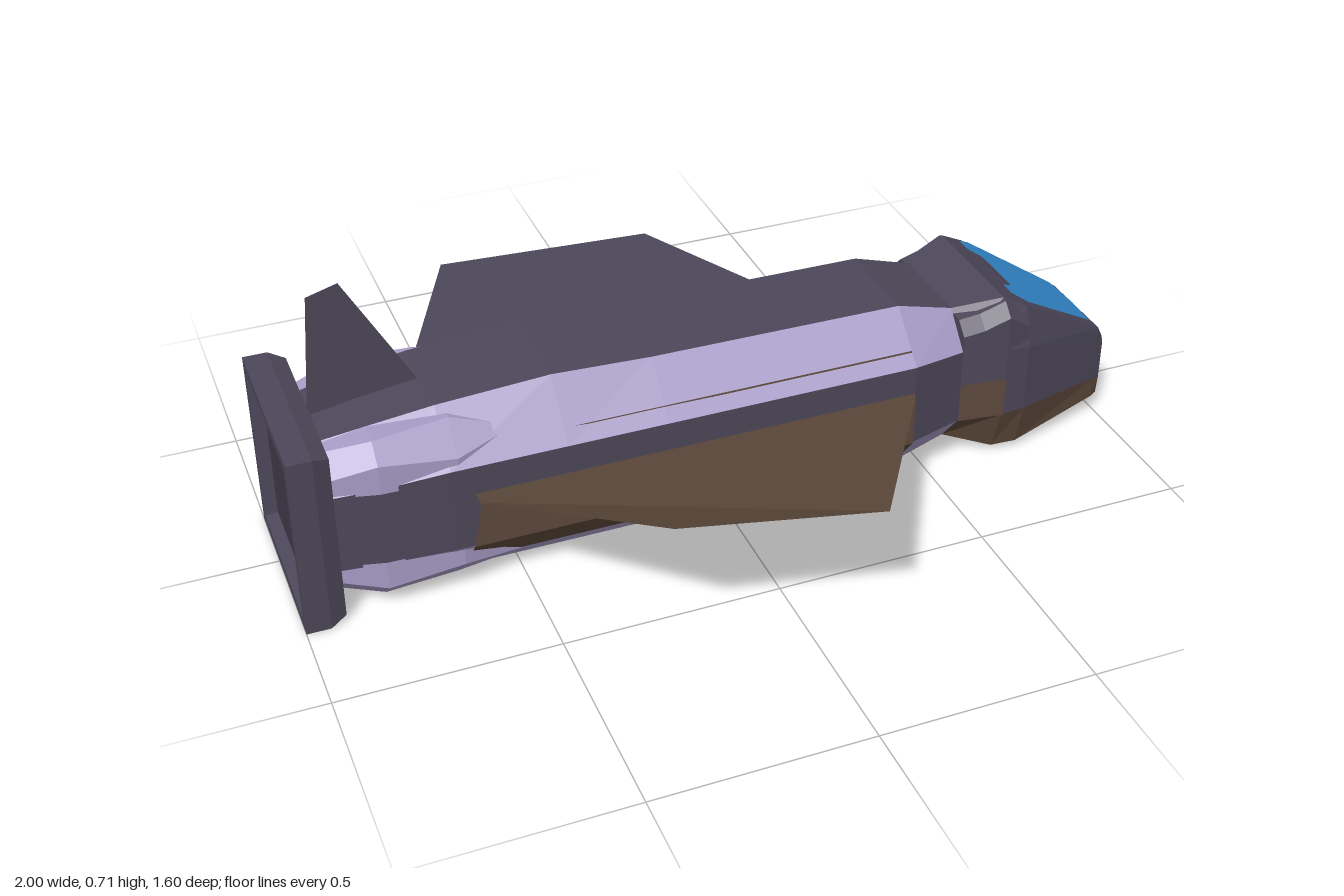
import * as THREE from 'three';

const ZC = 0.05; // centre line of the hull
const mat = (color, side = THREE.FrontSide) =>
  new THREE.MeshStandardMaterial({ color, flatShading: true, side });
const GREY = mat(0x4d485a), LILAC = mat(0xa89cc6), BROWN = mat(0x5e4a3c);
const DARK = mat(0x3f3b49), BLUE = mat(0x3489cf, THREE.DoubleSide);
const GREY2 = mat(0x4d485a, THREE.DoubleSide), BROWN2 = mat(0x5e4a3c, THREE.DoubleSide);

function meshFrom(name, positions, material) {
  const g = new THREE.BufferGeometry();
  g.setAttribute('position', new THREE.Float32BufferAttribute(positions, 3));
  g.computeVertexNormals();
  const m = new THREE.Mesh(g, material);
  m.name = name;
  return m;
}

// Skin between rings of [x, y, z] points; `edges` picks the strips to build
function loft(name, rings, material, edges, caps = '') {
  const p = [], n = rings[0].length;
  for (let k = 0; k < rings.length - 1; k++) {
    for (const i of edges ?? rings[0].keys()) {
      const j = (i + 1) % n, A = rings[k], B = rings[k + 1];
      p.push(...A[i], ...B[i], ...B[j], ...A[i], ...B[j], ...A[j]);
    }
  }
  const last = rings[rings.length - 1];
  for (let i = 1; i < n - 1; i++) {
    if (caps.includes('s')) p.push(...rings[0][0], ...rings[0][i], ...rings[0][i + 1]);
    if (caps.includes('e')) p.push(...last[0], ...last[i + 1], ...last[i]);
  }
  return meshFrom(name, p, material);
}

// Mirror rings across the hull's middle planes
function mirror(rings, fz, fy = 1, yc = 0.22) {
  return rings.map(r => {
    const out = r.map(([x, y, z]) => [x, yc + fy * (y - yc), ZC + fz * (z - ZC)]);
    return fz * fy < 0 ? out.reverse() : out;
  });
}

// Eight-sided section: flat half width t, side half width s, four heights
const oct = ([x, t, s, yT, yU, yL, yB]) => [
  [s, yL], [s, yU], [t, yT], [-t, yT], [-s, yU], [-s, yL], [-t, yB], [t, yB],
].map(([z, y]) => [x, y, ZC + z]);

// Square section for the tail plate
const square = (x, inset) => {
  const h = 0.22 - inset;
  return [[h, -h], [h, h], [-h, h], [-h, -h]].map(([z, y]) => [x, 0.22 + y, ZC + z]);
};

// Thin four-cornered sheet
const sheet = (name, [a, b, c, d], material) =>
  meshFrom(name, [...a, ...b, ...c, ...a, ...c, ...d], material);

export function createModel() {
  const model = new THREE.Group();

  // Hull: grey flats with pale chamfers
  const hull = [
    [-0.92, 0.1, 0.185, 0.40, 0.31, 0.12, 0.04],
    [-0.81, 0.11, 0.205, 0.42, 0.32, 0.125, 0.02],
    [-0.66, 0.115, 0.22, 0.44, 0.335, 0.13, 0],
    [-0.4, 0.115, 0.22, 0.455, 0.335, 0.13, 0],
    [-0.17, 0.115, 0.22, 0.445, 0.335, 0.13, 0],
    [0.43, 0.115, 0.22, 0.44, 0.335, 0.13, 0],
    [0.57, 0.11, 0.18, 0.40, 0.32, 0.13, 0.045],
  ].map(oct);
  model.add(loft('hullPanels', hull, GREY, [0, 2, 4, 6]));
  model.add(loft('hullChamfers', hull, LILAC, [1, 3, 5, 7]));

  // Brown plating on the front flank
  const plate = [[-0.62, -0.62, -0.6, -0.65], [0.43, 0.43, 0.43, 0.43]].map(xs =>
    [[0.045, 0.206], [0.13, 0.275], [0.24, 0.277], [0.365, 0.243]].map(([y, z], i) => [xs[i], y, z]));
  model.add(loft('sidePlating', plate, BROWN2, [0, 1, 2]));

  // Nose with brown chin
  const nose = [
    [0.57, 0.11, 0.18, 0.40, 0.32, 0.13, 0.045],
    [0.68, 0.155, 0.195, 0.43, 0.31, 0.13, 0.015],
    [0.74, 0.165, 0.19, 0.398, 0.30, 0.13, 0.02],
    [0.98, 0.105, 0.108, 0.25, 0.21, 0.105, 0.05],
    [1.0, 0.095, 0.1, 0.215, 0.2, 0.1, 0.052],
  ].map(oct);
  model.add(loft('nose', nose, GREY, [0, 1, 2, 3, 4, 5], 'e'));
  model.add(loft('chin', nose, BROWN, [6, 7]));
  model.add(sheet('noseSidePlate', [[0.57, 0.13, 0.233], [0.68, 0.13, 0.248],
    [0.68, 0.23, 0.248], [0.57, 0.23, 0.233]], BROWN2));

  // Windscreen lying on the sloped nose
  const outline = [[0.96, 0.095], [0.75, 0.15], [0.715, 0.13], [0.715, 0.09], [0.75, 0.07]];
  const pts = [...outline, ...outline.map(([x, z]) => [x, -z]).reverse(), [0.97, 0]];
  const glass = new THREE.ShapeGeometry(new THREE.Shape(pts.map(q => new THREE.Vector2(...q))));
  glass.rotateX(-Math.PI / 2);
  const gp = glass.attributes.position;
  for (let i = 0; i < gp.count; i++) gp.setY(i, 0.404 - 0.617 * (gp.getX(i) - 0.74));
  glass.translate(0, 0, ZC - 0.002);
  glass.computeVertexNormals();
  const windscreen = new THREE.Mesh(glass, BLUE);
  windscreen.name = 'windscreen';
  model.add(windscreen);

  // Shoulder blocks beside the cockpit
  const cheek = [[0.57, 0.18, 0.39], [0.62, 0.187, 0.40], [0.68, 0.195, 0.425], [0.74, 0.185, 0.385]]
    .map(([x, s, y]) => [[s, 0.31], [s, y - 0.03], [s - 0.03, y], [0.12, y], [0.12, 0.31]]
      .map(([z, yy]) => [x, yy, ZC + z]));
  for (const f of [1, -1]) model.add(loft('cockpitShoulder', mirror(cheek, f), GREY, undefined, 'se'));

  // Four tapering fairings at the tail corners
  const fairing = [[-0.905, 0.185, 0.18], [-0.81, 0.208, 0.2], [-0.64, 0.212, 0.205]]
    .map(([x, s, h], i) => {
      const k = [0.045, 0.04, 0.065][i];
      return [[s, 0.09], [s, h - k], [s - k, h], [0.1, h]].map(([z, y]) => [x, 0.22 + y, ZC + z]);
    });
  fairing.push(fairing[0].map(() => [-0.5, 0.385, ZC + 0.17]));
  for (const fz of [1, -1]) for (const fy of [1, -1])
    model.add(loft('tailFairing', mirror(fairing, fz, fy), LILAC, undefined, 's'));

  // Tail plate with a recessed back
  const rim = [square(-0.97, 0.03), square(-1, 0.025), square(-1, 0),
    square(-0.945, 0), square(-0.908, 0.015)];
  model.add(loft('tailPlate', rim, GREY, undefined, 'e'));
  model.add(loft('tailRecess', [square(-0.971, 0.029), square(-0.969, 0.029)], DARK, undefined, 's'));

  // Thin wings and tail fin
  model.add(sheet('frontWing', [[-0.6, 0.24, 0.27], [0.43, 0.24, 0.27],
    [0.1, 0.395, 0.8], [-0.33, 0.415, 0.72]], BROWN2));
  model.add(sheet('backWing', [[0.43, 0.22, -0.168], [-0.67, 0.22, -0.168],
    [-0.39, 0.2, -0.8], [0.155, 0.2, -0.76]], GREY2));
  model.add(sheet('tailFin', [[-0.91, 0.4, ZC], [-0.66, 0.43, ZC],
    [-0.815, 0.71, ZC], [-0.885, 0.69, ZC]], GREY2));

  return model;
}
